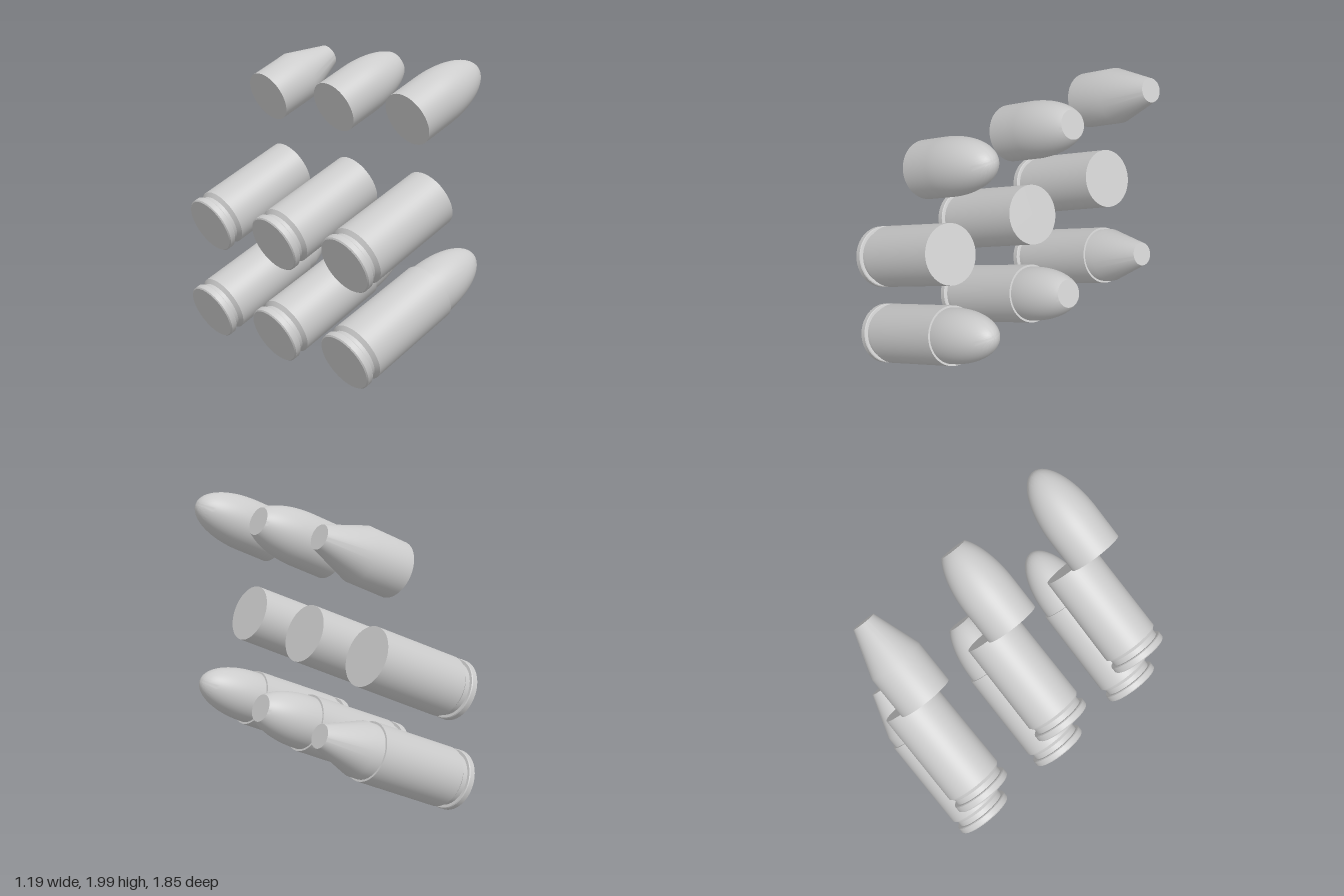
import * as THREE from 'three';
import { toCreasedNormals } from 'three/addons/utils/BufferGeometryUtils.js';

const TILT = THREE.MathUtils.degToRad(25);
const BULLET_R = 0.183;
const SEAT = 0.562;      // bullet base above the case base, along the axis
const BASE = new THREE.Vector2(-0.511, 0.185);
const STEP_Y = 0.6175;   // vertical spacing of the three rows
const STEP_Z = 0.72;

const material = new THREE.MeshStandardMaterial({ color: 0xcccccc });

// Turned solid from [radius, height] pairs, with sharp machined edges
function turned(profile) {
  const points = profile.map(([r, y]) => new THREE.Vector2(r, y));
  return toCreasedNormals(new THREE.LatheGeometry(points, 64), 0.5);
}

// Elliptical nose, followed up to the given flat radius (0 = full round tip)
function ogive(flatRadius) {
  const start = 0.232, length = 0.42, steps = 24;
  const end = Math.acos(flatRadius / BULLET_R);
  const profile = [[0, 0], [BULLET_R, 0]];
  for (let i = 0; i <= steps; i++) {
    const a = (end * i) / steps;
    profile.push([Math.max(0, BULLET_R * Math.cos(a)), start + length * Math.sin(a)]);
  }
  if (flatRadius > 0) profile.push([0, profile[profile.length - 1][1]]);
  return turned(profile);
}

export function createModel() {
  const model = new THREE.Group();
  model.name = 'cartridgeSet';

  // Case: chamfered rim, extractor groove with bevel, slightly tapered body
  const caseGeometry = turned([
    [0, 0], [0.195, 0], [0.203, 0.008], [0.203, 0.046], [0.198, 0.052],
    [0.179, 0.052], [0.179, 0.088], [0.2023, 0.113], [0.1965, 0.78], [0, 0.78],
  ]);

  // Three bullet types: round nose, flat-tipped ogive, truncated cone
  const bullets = [
    ['roundNose', ogive(0)],
    ['flatNose', ogive(0.093)],
    ['coneNose', turned([[0, 0], [BULLET_R, 0], [BULLET_R, 0.292], [0.079, 0.6], [0, 0.6]])],
  ];

  // Tilted holder whose local y is the cartridge axis
  function holder(name, level, z) {
    const group = new THREE.Group();
    group.name = name;
    group.position.set(BASE.x, BASE.y + level * STEP_Y, z);
    group.rotation.z = TILT - Math.PI / 2;
    model.add(group);
    return group;
  }

  function addPart(parent, name, geometry, height = 0) {
    const mesh = new THREE.Mesh(geometry, material);
    mesh.name = name;
    mesh.position.y = height;
    parent.add(mesh);
  }

  bullets.forEach(([type, bulletGeometry], i) => {
    const z = (1 - i) * STEP_Z;
    // Bottom: assembled round; middle: case alone; top: bullet alone
    const round = holder(type + 'Cartridge', 0, z);
    addPart(round, 'case', caseGeometry);
    addPart(round, 'bullet', bulletGeometry, SEAT);
    addPart(holder(type + 'SeparateCase', 1, z), 'case', caseGeometry);
    addPart(holder(type + 'SeparateBullet', 2, z), 'bullet', bulletGeometry, SEAT);
  });

  return model;
}
